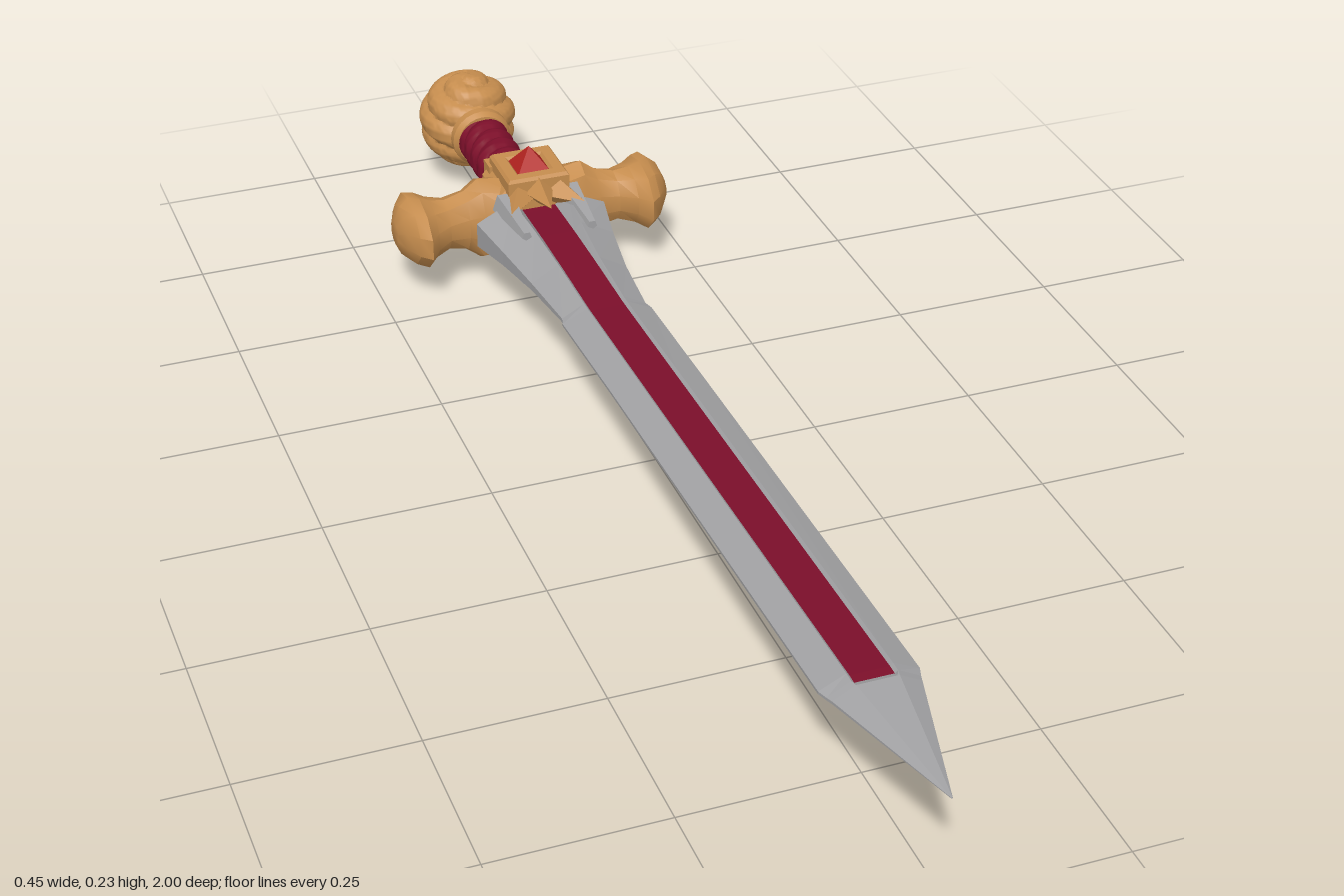
import * as THREE from 'three';
import { mergeVertices, toCreasedNormals } from 'three/addons/utils/BufferGeometryUtils.js';

const mat = (name, color) => Object.assign(new THREE.MeshStandardMaterial({ color }), { name });
const Y = 0.115, GZ = -0.58; // hilt axis height, guard centre

// Skin closed rings into a solid; faces picked by isSecond(i, j) use the second material.
function loft(rings, isSecond = () => false) {
  const sets = [[], []], n = rings[0].length;
  const tri = (s, ...ps) => ps.forEach(p => sets[s].push(...p));
  for (let i = 0; i < rings.length - 1; i++) for (let j = 0; j < n; j++) {
    const k = (j + 1) % n, s = isSecond(i, j) ? 1 : 0;
    tri(s, rings[i][j], rings[i][k], rings[i + 1][k]);
    tri(s, rings[i][j], rings[i + 1][k], rings[i + 1][j]);
  }
  for (const [r, flip] of [[rings[0], true], [rings.at(-1), false]]) {
    const c = [0, 1, 2].map(a => r.reduce((sum, p) => sum + p[a], 0) / n);
    for (let j = 0; j < n; j++) {
      const a = r[j], b = r[(j + 1) % n];
      flip ? tri(0, c, b, a) : tri(0, c, a, b);
    }
  }
  const g = new THREE.BufferGeometry();
  g.setAttribute('position', new THREE.Float32BufferAttribute([...sets[0], ...sets[1]], 3));
  g.addGroup(0, sets[0].length / 3, 0);
  g.addGroup(sets[0].length / 3, sets[1].length / 3, 1);
  g.computeVertexNormals();
  return g;
}

// Scale every vertex by a rule, then rebuild smooth normals with sharp creases.
function carve(geo, rule) {
  const p = geo.attributes.position, v = new THREE.Vector3();
  for (let i = 0; i < p.count; i++) {
    rule(v.fromBufferAttribute(p, i));
    p.setXYZ(i, v.x, v.y, v.z);
  }
  geo.deleteAttribute('uv');
  geo.deleteAttribute('normal');
  return toCreasedNormals(mergeVertices(geo, 1e-5), 0.7);
}

export function createModel() {
  const root = new THREE.Group();
  root.name = 'sword';
  const steel = mat('steel', 0xa2a2a4), gold = mat('gold', 0xc68d4e);
  const wine = mat('wine red', 0x7c0f2a), ruby = mat('ruby', 0xb4231f);
  const add = (name, geo, m, x = 0, y = 0, z = 0, parent = root) => {
    const mesh = new THREE.Mesh(geo, m);
    mesh.name = name;
    mesh.position.set(x, y, z);
    parent.add(mesh);
    return mesh;
  };

  // Blade: z, half width, edge half thickness, ridge x, ridge half thickness, fuller half thickness, centre y
  const stations = [
    [-0.56, 0.06, 0.02, 0.045, 0.046, 0.025, 0.117],
    [-0.50, 0.062, 0.02, 0.045, 0.047, 0.025, 0.117],
    [-0.525, 0.105, 0.02, 0.045, 0.047, 0.025, 0.117],
    [-0.44, 0.09, 0.012, 0.038, 0.04, 0.026, 0.118],
    [-0.34, 0.076, 0.006, 0.033, 0.031, 0.024, 0.12],
    [-0.225, 0.066, 0.003, 0.031, 0.022, 0.018, 0.124],
    [-0.21, 0.07, 0.002, 0.031, 0.021, 0.017, 0.125],
    [0.0, 0.069, 0.002, 0.031, 0.019, 0.015, 0.133],
    [0.76, 0.068, 0.002, 0.031, 0.02, 0.016, 0.155],
    [0.775, 0.063, 0.002, 0.031, 0.0195, 0.0155, 0.155],
    [0.785, 0.06, 0.002, 0.029, 0.019, 0.019, 0.156],
    [1.0, 0.001, 0.0005, 0.0006, 0.0008, 0.0008, 0.16],
  ];
  stations[1][0] = -0.53; // stepped shoulder
  const rings = stations.map(([z, w, e, i, t, f, yc]) => {
    const g = Math.min(0.027, i * 0.9);
    const half = [[w, -e], [w, e], [i, t], [g, f], [-g, f], [-i, t]];
    return [...half, ...half.map(([x, y]) => [-x, -y])].map(([x, y]) => [x, yc + y, z]);
  });
  add('blade', loft(rings, (i, j) => i < 9 && (j === 3 || j === 9)), [steel, wine]);

  // Steel prongs clasping the root of the blade
  for (const sx of [-1, 1]) for (const sy of [-1, 1]) {
    const prong = new THREE.CylinderGeometry(0.008, 0.022, 0.11, 5).toNonIndexed();
    prong.computeVertexNormals();
    const m = add('bladeProng', prong, steel, sx * 0.053, Y + sy * 0.04, -0.485);
    m.rotation.x = Math.PI / 2;
  }

  // Cross guard arms: x, back z, front z, half height
  const arm = [
    [0.03, -0.635, -0.53, 0.06], [0.085, -0.622, -0.542, 0.07], [0.108, -0.615, -0.55, 0.052],
    [0.14, -0.618, -0.547, 0.042], [0.165, -0.63, -0.528, 0.047], [0.182, -0.645, -0.505, 0.055],
    [0.198, -0.653, -0.52, 0.053], [0.213, -0.625, -0.545, 0.042], [0.223, -0.6, -0.56, 0.02],
  ].map(([x, z0, z1, h]) => Array.from({ length: 10 }, (_, k) => {
    const a = k / 10 * Math.PI * 2;
    return [x, h * Math.cos(a), (z0 + z1) / 2 + (z1 - z0) / 2 * Math.sin(a) / Math.sin(Math.PI * 0.4)];
  }));
  const armGeo = toCreasedNormals(loft(arm), 0.6);
  add('leftGuardArm', armGeo, gold, 0, Y, 0);
  add('rightGuardArm', armGeo, gold, 0, Y, 0).rotation.z = Math.PI;

  // Guard block with chamfered corners
  const c = 0.02, bx = 0.062, by = 0.068;
  const outline = new THREE.Shape([[bx, c - by], [bx, by - c], [bx - c, by], [c - bx, by], [-bx, by - c],
    [-bx, c - by], [c - bx, -by], [bx - c, -by]].map(p => new THREE.Vector2(...p)));
  add('guardBlock', new THREE.ExtrudeGeometry(outline, {
    depth: 0.085, bevelThickness: 0.012, bevelSize: 0.01, bevelOffset: -0.01, bevelSegments: 1,
  }), gold, 0, Y, -0.632);

  // Square bezel, gem and leaf points on the upper and lower faces
  const square = s => [[-s, -s], [s, -s], [s, s], [-s, s]].map(p => new THREE.Vector2(...p));
  const frame = new THREE.Shape(square(0.046));
  frame.holes.push(new THREE.Path(square(0.03)));
  const frameGeo = new THREE.ExtrudeGeometry(frame, {
    depth: 0.03, bevelThickness: 0.005, bevelSize: 0.004, bevelSegments: 1,
  }).rotateX(-Math.PI / 2);
  const gemGeo = new THREE.ConeGeometry(0.045, 0.043, 4, 1).rotateY(Math.PI / 4).toNonIndexed();
  gemGeo.computeVertexNormals();
  const leafGeo = new THREE.ConeGeometry(0.026, 0.07, 4, 1).rotateX(Math.PI / 2).toNonIndexed();
  leafGeo.computeVertexNormals();
  for (const top of [true, false]) {
    const face = new THREE.Group();
    face.name = top ? 'upperGuardFace' : 'lowerGuardFace';
    face.position.set(0, Y, GZ);
    if (!top) face.rotation.z = Math.PI;
    root.add(face);
    add('bezel', frameGeo, gold, 0, 0.048, 0, face);
    add('gem', gemGeo, ruby, 0, 0.0915, 0, face);
    add('centreLeaf', leafGeo, gold, 0, 0.058, 0.075, face);
    for (const s of [-1, 1]) {
      add('sideLeaf', leafGeo, gold, s * 0.046, 0.05, 0.07, face).rotation.y = s * 0.5;
      add('backStud', new THREE.BoxGeometry(0.026, 0.03, 0.03), gold, s * 0.042, 0.052, -0.05, face);
    }
  }

  // Grip with spiral leather wrap
  const grip = carve(new THREE.CylinderGeometry(1, 1, 0.21, 32, 60, true), v => {
    const a = Math.atan2(v.z, v.x);
    const r = 0.036 + 0.006 * Math.abs(Math.sin(v.y * Math.PI / 0.034 + a / 2 * 2));
    v.set(Math.cos(a) * r, v.y, Math.sin(a) * r);
  });
  add('grip', grip, wine, 0, Y, -0.745).rotation.x = Math.PI / 2;

  // Collars at both ends of the grip
  const collar = new THREE.LatheGeometry([[0.03, -0.016], [0.043, -0.016], [0.049, -0.007], [0.049, 0.007],
    [0.043, 0.016], [0.03, 0.016]].map(p => new THREE.Vector2(...p)), 24).rotateX(Math.PI / 2);
  add('pommelCollar', toCreasedNormals(collar, 0.5), gold, 0, Y - 0.001, -0.845);
  add('guardCollar', toCreasedNormals(collar, 0.5), gold, 0, Y, -0.647);

  // Round pommel carved with spiral grooves
  const pommel = carve(new THREE.SphereGeometry(1, 72, 48), v => {
    const polar = Math.acos(THREE.MathUtils.clamp(v.y, -1, 1)), a = Math.atan2(v.z, v.x);
    const wave = Math.abs(Math.sin(a + polar * 5.5));
    const depth = Math.min(1, Math.sin(polar) * 3);
    v.multiplyScalar(0.081 - 0.009 * depth * (1 - wave) ** 1.5);
  });
  add('pommel', pommel, gold, 0, Y - 0.003, -0.919);

  return root;
}
